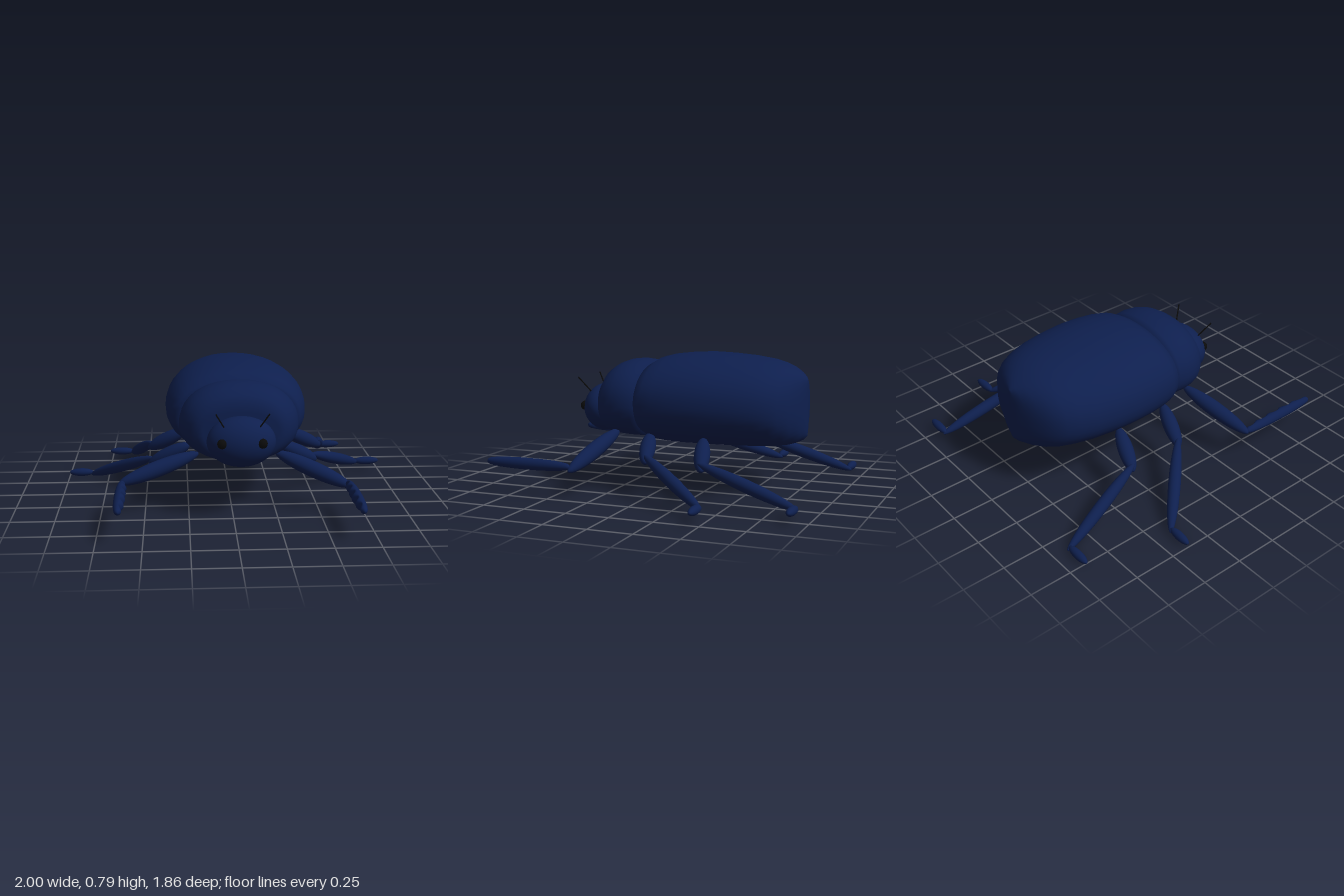
import * as THREE from 'three';

const shell = new THREE.MeshStandardMaterial({ color: 0x0e1f4e });
const dark = new THREE.MeshStandardMaterial({ color: 0x0a0a0a });
const CX = 0.045; // body axis

function add(parent, name, geometry, material = shell) {
  const mesh = new THREE.Mesh(geometry, material);
  mesh.name = name;
  parent.add(mesh);
  return mesh;
}

// Skin of rounded cross-sections, each [z, halfWidth, top, bottom], given from front to back
function loft(sections, midY, sides = 40) {
  const pos = [], index = [];
  const power = (v) => Math.sign(v) * Math.abs(v) ** 0.92;
  sections.forEach(([z, w, top, bottom], i) => {
    const mid = THREE.MathUtils.clamp(midY, bottom, top);
    for (let j = 0; j < sides; j++) {
      const a = (j / sides) * Math.PI * 2;
      const s = power(Math.sin(a));
      pos.push(w * power(Math.cos(a)), mid + s * (s > 0 ? top - mid : mid - bottom), z);
      if (i === 0) continue;
      const k = (j + 1) % sides, p = (i - 1) * sides, q = i * sides;
      index.push(p + j, q + j, q + k, p + j, q + k, p + k);
    }
  });
  const g = new THREE.BufferGeometry();
  g.setAttribute('position', new THREE.Float32BufferAttribute(pos, 3));
  g.setIndex(index);
  g.computeVertexNormals();
  return g;
}

// Spindle-shaped leg segment from point a to point b
function spindle(parent, name, a, b, radius) {
  const from = new THREE.Vector3(...a), to = new THREE.Vector3(...b);
  const dir = to.clone().sub(from);
  const mesh = add(parent, name, new THREE.SphereGeometry(1, 20, 16));
  mesh.scale.set(radius, dir.length() / 2, radius);
  mesh.position.copy(from).add(to).multiplyScalar(0.5);
  mesh.quaternion.setFromUnitVectors(new THREE.Vector3(0, 1, 0), dir.normalize());
  return mesh;
}

// Digging shin: a spindle along z whose inner side is cut into teeth
function toothedShin(parent, x, y, side) {
  const length = 0.53;
  const g = new THREE.SphereGeometry(1, 20, 48);
  g.rotateX(Math.PI / 2);
  const p = g.attributes.position;
  for (let i = 0; i < p.count; i++) {
    const z = p.getZ(i), t = (z + 1) / 2;
    const fat = Math.max(0, 1 - z * z) ** -0.2;
    const flare = Number.isFinite(fat) ? Math.min(fat, 1.8) : 1;
    let px = p.getX(i) * 0.032 * flare;
    if (px * side < 0 && t > 0.06) {
      const saw = Math.abs(((t * 5.2) % 1) * 2 - 1);
      px *= 0.25 + 0.85 * saw;
    }
    p.setXYZ(i, px, p.getY(i) * 0.034 * flare, z * length / 2);
  }
  g.computeVertexNormals();
  add(parent, 'frontShin', g).position.set(x, y, 0.4 + length / 2);
}

export function createModel() {
  const model = new THREE.Group();
  model.name = 'beetle';

  // Abdomen with wing cases
  add(model, 'abdomen', loft([
    [0.14, 0, 0.51, 0.51],
    [0.14, 0.33, 0.69, 0.34],
    [0.12, 0.37, 0.73, 0.3],
    [0.07, 0.393, 0.76, 0.275],
    [0.0, 0.41, 0.778, 0.268],
    [-0.1, 0.422, 0.79, 0.265],
    [-0.22, 0.426, 0.796, 0.265],
    [-0.35, 0.418, 0.792, 0.266],
    [-0.48, 0.397, 0.782, 0.268],
    [-0.58, 0.367, 0.768, 0.272],
    [-0.65, 0.332, 0.75, 0.276],
    [-0.7, 0.29, 0.73, 0.283],
    [-0.745, 0.22, 0.705, 0.295],
    [-0.78, 0.125, 0.68, 0.312],
    [-0.797, 0.045, 0.66, 0.33],
    [-0.8, 0, 0.655, 0.335],
  ], 0.51)).position.x = CX;

  // Neck shield
  add(model, 'thorax', loft([
    [0.408, 0, 0.5, 0.5],
    [0.408, 0.215, 0.6, 0.35],
    [0.4, 0.25, 0.65, 0.32],
    [0.375, 0.283, 0.69, 0.302],
    [0.33, 0.317, 0.72, 0.295],
    [0.28, 0.337, 0.738, 0.29],
    [0.22, 0.347, 0.744, 0.288],
    [0.16, 0.343, 0.738, 0.288],
    [0.1, 0.325, 0.72, 0.29],
    [0.05, 0, 0.5, 0.5],
  ], 0.49)).position.x = CX;

  // Head with eyes and feelers
  const head = add(model, 'head', new THREE.SphereGeometry(1, 40, 28));
  head.scale.set(0.194, 0.143, 0.13);
  head.position.set(CX, 0.443, 0.452);
  for (const s of [-1, 1]) {
    add(model, 'eye', new THREE.SphereGeometry(0.028, 20, 14), dark)
      .position.set(CX + s * 0.111, 0.455, 0.552);
    const feeler = new THREE.LineCurve3(
      new THREE.Vector3(CX + s * 0.1, 0.54, 0.515),
      new THREE.Vector3(CX + s * 0.148, 0.63, 0.578));
    add(model, 'antenna', new THREE.TubeGeometry(feeler, 1, 0.004, 8), dark);
  }

  // Front legs
  for (const [side, hip, knee, y] of [
    [-1, [-0.19, 0.335, 0.285], [-0.645, 0.19, 0.4], 0.195],
    [1, [0.25, 0.335, 0.285], [0.68, 0.155, 0.4], 0.18],
  ]) {
    const leg = new THREE.Group();
    leg.name = 'frontLeg';
    spindle(leg, 'frontThigh', hip, knee, 0.047);
    toothedShin(leg, knee[0] - side * 0.018, y, side);
    model.add(leg);
  }

  // Middle and hind legs: hip, knee start, knee, ankle, foot start, toe
  for (const [name, hip, kneeEnd, knee, ankle, heel, toe] of [
    ['middleLeg', [-0.24, 0.33, 0.07], [-0.485, 0.19, -0.005],
      [-0.455, 0.235, 0.01], [-0.865, 0.018, -0.4], [-0.85, 0.035, -0.385], [-1, 0.033, -0.393]],
    ['middleLeg', [0.29, 0.33, 0.065], [0.53, 0.205, 0.0],
      [0.5, 0.245, 0.015], [0.86, 0.058, -0.457], [0.84, 0.068, -0.445], [1, 0.07, -0.448]],
    ['hindLeg', [-0.26, 0.33, -0.28], [-0.495, 0.195, -0.36],
      [-0.475, 0.235, -0.335], [-0.618, 0.018, -0.92], [-0.61, 0.032, -0.9], [-0.77, 0.033, -0.905]],
    ['hindLeg', [0.34, 0.33, -0.28], [0.605, 0.2, -0.36],
      [0.585, 0.24, -0.335], [0.66, 0.05, -0.92], [0.65, 0.062, -0.905], [0.81, 0.065, -0.905]],
  ]) {
    const leg = new THREE.Group();
    leg.name = name;
    spindle(leg, 'thigh', hip, kneeEnd, 0.045);
    spindle(leg, 'shin', knee, ankle, 0.036);
    spindle(leg, 'foot', heel, toe, 0.025);
    model.add(leg);
  }

  return model;
}
